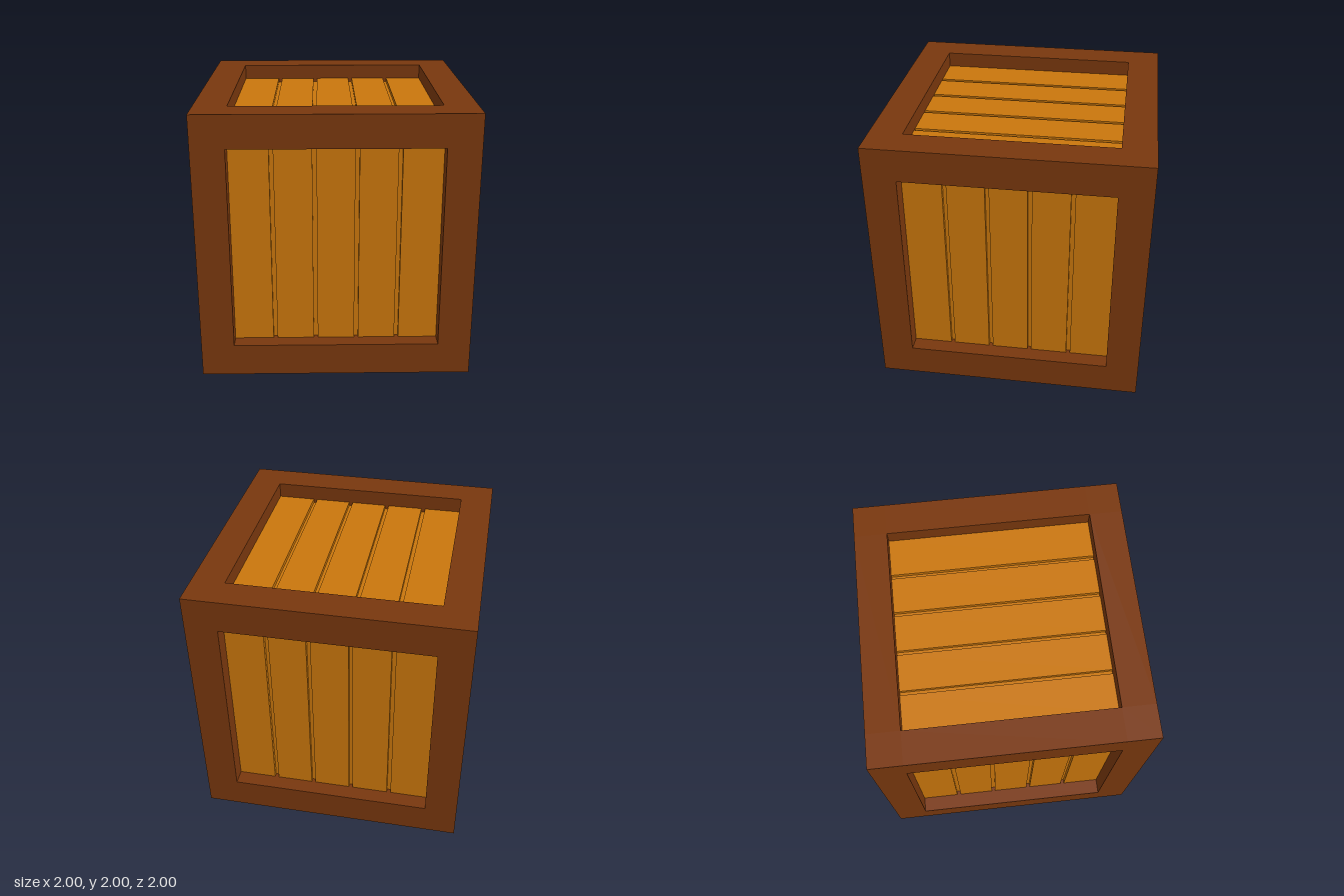
import * as THREE from 'three';

const HALF = 1;        // half the crate's size
const BEAM = 0.243;    // frame beam width
const PANEL = 0.885;   // distance of plank surfaces from the centre
const GROOVE = 0.03;   // gap between planks, and its depth
const PLANKS = 5;

export function createModel() {
  const crate = new THREE.Group();
  crate.name = 'crate';
  const frameMat = new THREE.MeshStandardMaterial({ color: 0x78370d });
  const plankMat = new THREE.MeshStandardMaterial({ color: 0xc9760c });

  const addBox = (parent, name, size, pos, mat) => {
    const mesh = new THREE.Mesh(new THREE.BoxGeometry(...size), mat);
    mesh.name = name;
    mesh.position.set(...pos);
    parent.add(mesh);
  };

  // Frame: four full-height posts, with rails fitted between them
  const frame = new THREE.Group();
  frame.name = 'frame';
  const c = HALF - BEAM / 2;
  const inner = 2 * (HALF - BEAM);
  for (const a of [-1, 1]) {
    for (const b of [-1, 1]) {
      addBox(frame, 'cornerPost', [BEAM, 2 * HALF, BEAM], [a * c, 0, b * c], frameMat);
      addBox(frame, 'crossRail', [inner, BEAM, BEAM], [0, a * c, b * c], frameMat);
      addBox(frame, 'sideRail', [BEAM, BEAM, inner], [a * c, b * c, 0], frameMat);
    }
  }
  crate.add(frame);

  // Inner box that forms the bottom of the grooves
  const core = 2 * (PANEL - GROOVE);
  addBox(crate, 'innerBox', [core, core, core], [0, 0, 0], plankMat);

  // One panel of planks per side, recessed in the frame
  const pitch = 0.303;
  const makePanel = (name, rx, ry) => {
    const panel = new THREE.Group();
    panel.name = name;
    for (let i = 0; i < PLANKS; i++) {
      const mid = (i - (PLANKS - 1) / 2) * pitch;
      const left = i === 0 ? -inner / 2 : mid - (pitch - GROOVE) / 2;
      const right = i === PLANKS - 1 ? inner / 2 : mid + (pitch - GROOVE) / 2;
      addBox(panel, 'plank', [right - left, inner, GROOVE],
        [(left + right) / 2, 0, PANEL - GROOVE / 2], plankMat);
    }
    panel.rotation.set(rx, ry, 0);
    crate.add(panel);
  };
  const q = Math.PI / 2;
  makePanel('frontPanel', 0, 0);
  makePanel('leftPanel', 0, q);
  makePanel('backPanel', 0, 2 * q);
  makePanel('rightPanel', 0, -q);
  makePanel('topPanel', -q, 0);
  makePanel('bottomPanel', q, 0);

  crate.position.y = HALF;
  const model = new THREE.Group();
  model.add(crate);
  return model;
}
